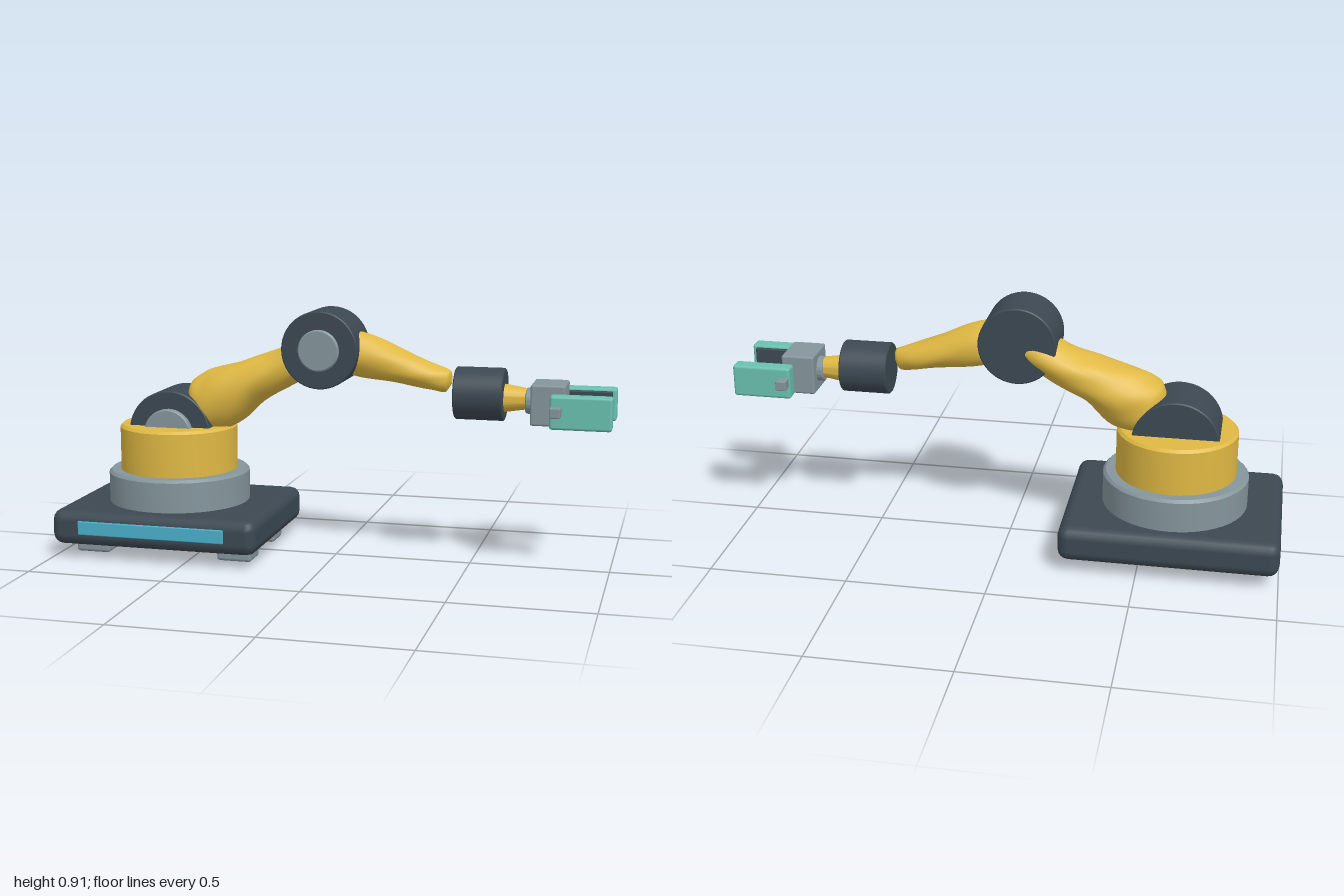
import * as THREE from 'three';
import { toCreasedNormals } from 'three/addons/utils/BufferGeometryUtils.js';
import { RoundedBoxGeometry } from 'three/addons/geometries/RoundedBoxGeometry.js';

const paint = (name, color) => {
  const m = new THREE.MeshStandardMaterial({ color });
  m.name = name;
  return m;
};

// Cylinder with bevelled rims, standing on y, centred on the origin
function bevelCylinder(r, h, b = 0.008, rTop = r) {
  const p = [[0, -h / 2], [r - b, -h / 2], [r, -h / 2 + b], [rTop, h / 2 - b], [rTop - b, h / 2], [0, h / 2]];
  const g = new THREE.LatheGeometry(p.map(([x, y]) => new THREE.Vector2(x, y)), 48);
  return toCreasedNormals(g, 0.5);
}

// Organic limb: elliptical sections [x, y, z, half height, half width] along a smooth path
function limbGeometry(sections, ripple) {
  const path = new THREE.CatmullRomCurve3(sections.map(s => new THREE.Vector3(s[0], s[1], s[2])));
  const size = new THREE.CatmullRomCurve3(sections.map(s => new THREE.Vector3(s[3], s[4], 0)));
  const rings = 40, sides = 28, pos = [], index = [];
  for (let i = 0; i <= rings; i++) {
    const t = i / rings, c = path.getPoint(t), d = path.getTangent(t), s = size.getPoint(t);
    const n = new THREE.Vector2(-d.y, d.x).normalize();
    for (let j = 0; j < sides; j++) {
      const a = j / sides * Math.PI * 2;
      const k = 1 + ripple * Math.sin(3 * a + 9 * t) * Math.sin(14 * t + 2 * a);
      const u = Math.cos(a) * Math.max(s.x, 0) * k, v = Math.sin(a) * Math.max(s.y, 0) * k;
      pos.push(c.x + n.x * u, c.y + n.y * u, c.z + v);
      if (i < rings) {
        const p = i * sides + j, q = i * sides + (j + 1) % sides;
        index.push(p, q, p + sides, q, q + sides, p + sides);
      }
    }
  }
  const g = new THREE.BufferGeometry();
  g.setAttribute('position', new THREE.Float32BufferAttribute(pos, 3));
  g.setIndex(index);
  g.computeVertexNormals();
  return g;
}

export function createModel() {
  const model = new THREE.Group();
  model.name = 'robotArm';
  const dark = paint('charcoal', 0x3c4852);
  const grey = paint('steel grey', 0x84959c);
  const yellow = paint('safety yellow', 0xdfb843);
  const teal = paint('teal', 0x69c0b0);
  const cyan = paint('cyan light', 0x4bb0cc);

  const add = (name, geometry, material, x = 0, y = 0, z = 0) => {
    const m = new THREE.Mesh(geometry, material);
    m.name = name;
    m.position.set(x, y, z);
    model.add(m);
    return m;
  };
  // Box given by its minimum and maximum corners
  const box = (name, material, a, b, r, seg = 2) => add(name,
    new RoundedBoxGeometry(b[0] - a[0], b[1] - a[1], b[2] - a[2], seg, r), material,
    (a[0] + b[0]) / 2, (a[1] + b[1]) / 2, (a[2] + b[2]) / 2);

  // Base plate, feet and light strip
  box('basePlate', dark, [-1, 0.05, -0.32], [-0.22, 0.18, 0.312], 0.04);
  for (const x of [-0.885, -0.335]) for (const z of [0.143, -0.152])
    box('foot', grey, [x - 0.065, 0, z - 0.055], [x + 0.065, 0.07, z + 0.055], 0.012);
  box('lightStrip', cyan, [-0.89, 0.095, 0.309], [-0.335, 0.146, 0.3185], 0.004);

  // Turntable
  add('turntableRing', bevelCylinder(0.263, 0.13, 0.01), grey, -0.61, 0.235, -0.005);
  add('turntableDrum', bevelCylinder(0.218, 0.18, 0.01), yellow, -0.61, 0.38, -0.005);

  // Shoulder and elbow joints, axles along z, with a front cap each
  for (const [name, x, y, r, back, front, capR, capZ] of [
    ['shoulder', -0.61, 0.445, 0.157, -0.115, 0.1, 0.092, 0.124],
    ['elbow', -0.04, 0.77, 0.14, -0.105, 0.097, 0.075, 0.111],
  ]) {
    add(name + 'Joint', bevelCylinder(r, front - back, 0.004), dark, x, y, (front + back) / 2)
      .rotation.x = Math.PI / 2;
    add(name + 'Cap', bevelCylinder(capR, 0.04, 0.005), grey, x, y, capZ - 0.02)
      .rotation.x = Math.PI / 2;
  }

  // Upper arm and forearm
  add('upperArm', limbGeometry([
    [-0.555, 0.505, -0.01, 0, 0], [-0.535, 0.517, -0.01, 0.065, 0.07], [-0.495, 0.54, -0.01, 0.108, 0.103],
    [-0.43, 0.575, -0.015, 0.113, 0.112], [-0.32, 0.637, -0.02, 0.084, 0.108],
    [-0.2, 0.69, -0.025, 0.072, 0.1], [-0.06, 0.765, -0.015, 0.065, 0.085], [-0.04, 0.775, -0.015, 0, 0],
  ], 0.04), yellow);
  add('forearm', limbGeometry([
    [-0.02, 0.775, -0.01, 0, 0], [0, 0.77, -0.01, 0.075, 0.07], [0.1, 0.745, -0.02, 0.08, 0.08],
    [0.25, 0.705, -0.015, 0.058, 0.076], [0.35, 0.677, -0.012, 0.047, 0.063],
    [0.41, 0.661, -0.01, 0.04, 0.036], [0.426, 0.657, -0.01, 0, 0],
  ], 0.03), yellow);

  // Wrist, axles along x
  const alongX = (name, geometry, material, x, y) => {
    add(name, geometry, material, x, y, -0.009).rotation.z = -Math.PI / 2;
  };
  alongX('wristJoint', bevelCylinder(0.094, 0.175, 0.004), dark, 0.5275, 0.622);
  alongX('wristNeck', bevelCylinder(0.056, 0.12, 0.003, 0.038), yellow, 0.635, 0.61);
  alongX('wristFlange', bevelCylinder(0.046, 0.03, 0.004), grey, 0.705, 0.603);

  // Gripper: palm plus a mirrored pair of fingers
  box('palm', grey, [0.713, 0.527, -0.085], [0.834, 0.672, 0.072], 0.008);
  for (const s of [1, -1]) {
    const side = s > 0 ? 'Left' : 'Right';
    const span = (n, f) => [-0.006 + s * n, -0.006 + s * f].sort((p, q) => p - q);
    const [f0, f1] = span(0.083, 0.139);
    box('finger' + side, teal, [0.786, 0.527, f0], [1, 0.645, f1], 0.01);
    const [p0, p1] = span(0.071, 0.087);
    box('gripPad' + side, dark, [0.8, 0.537, p0], [0.985, 0.635, p1], 0.004);
    const [k0, k1] = span(0.06, 0.177);
    box('knob' + side, grey, [0.79, 0.573, k0], [0.828, 0.609, k1], 0.004);
  }
  return model;
}
